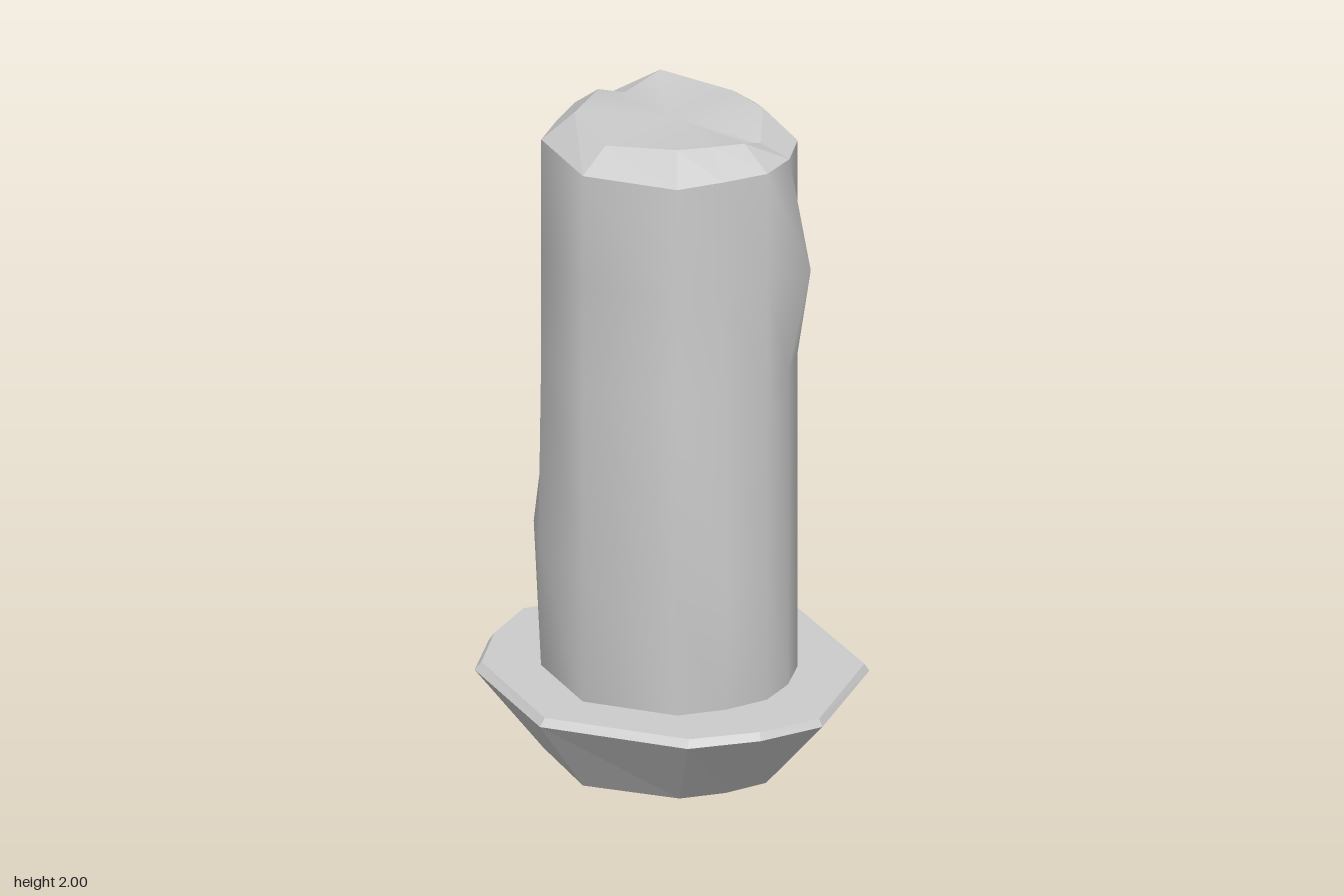
import * as THREE from 'three';

// Turns a half ring (back to front along +x) into a closed ring by mirroring x.
function ring(half) {
  const mirrored = half.slice(1, -1).reverse().map(([x, y, z]) => [-x, y, z]);
  return [...half, ...mirrored];
}

// Places a plan outline [x, z] at one height.
const level = (plan, y) => ring(plan.map(([x, z]) => [x, y, z]));

// Skins rings from bottom to top, with optional centre points to close the ends.
function loft(name, rings, { smooth = false, bottom, top } = {}) {
  const n = rings[0].length;
  const points = rings.flat();
  const index = [];
  for (let i = 0; i < rings.length - 1; i++) {
    for (let j = 0; j < n; j++) {
      const k = (j + 1) % n;
      const a = i * n + j, b = i * n + k, c = a + n, d = b + n;
      index.push(a, c, d, a, d, b);
    }
  }
  const close = (centre, start, up) => {
    const c = points.push(centre) - 1;
    for (let j = 0; j < n; j++) {
      const a = start + j, b = start + (j + 1) % n;
      index.push(c, ...(up ? [b, a] : [a, b]));
    }
  };
  if (bottom) close(bottom, 0, false);
  if (top) close(top, (rings.length - 1) * n, true);

  let geometry = new THREE.BufferGeometry();
  geometry.setAttribute('position', new THREE.Float32BufferAttribute(points.flat(), 3));
  geometry.setIndex(index);
  if (!smooth) geometry = geometry.toNonIndexed();
  geometry.computeVertexNormals();
  const material = new THREE.MeshStandardMaterial({ color: 0xcccccc, flatShading: !smooth });
  const mesh = new THREE.Mesh(geometry, material);
  mesh.name = name;
  return mesh;
}

export function createModel() {
  const model = new THREE.Group();
  model.name = 'post';

  // Flared base with a thin bevelled rim
  const foot = [[0, -0.35], [0.265, -0.25], [0.37, 0], [0.335, 0.13], [0.265, 0.25], [0, 0.37]];
  const rim = [[0, -0.55], [0.415, -0.385], [0.59, 0], [0.53, 0.195], [0.415, 0.378], [0, 0.55]];
  const lip = [[0, -0.535], [0.405, -0.375], [0.577, 0], [0.518, 0.185], [0.405, 0.36], [0, 0.53]];
  model.add(loft('base', [level(foot, 0), level(rim, 0.24), level(lip, 0.262)],
    { bottom: [0, 0, 0], top: [0, 0.262, 0] }));

  // Shaft: one plan outline, with the rear and front side corners swelling out
  const plan = (rear, front, corner = [0.265, 0.26]) =>
    [[0, -0.35], [0.275, -0.235], rear, [0.375, 0], front, corner, [0, 0.37]];
  const rearFlat = [0.345, -0.12], frontFlat = [0.325, 0.13];
  const upper = plan([0.35, -0.12], frontFlat);
  const shaftRings = [
    level(plan(rearFlat, [0.335, 0.14]), 0.25),
    level(plan(rearFlat, [0.378, 0.17], [0.262, 0.275]), 0.65),
    level(plan(rearFlat, frontFlat), 1.24),
    level(plan([0.405, -0.15], frontFlat), 1.56),
    level(upper, 1.9),
  ];
  model.add(loft('shaft', shaftRings, { smooth: true }));

  // Bevelled shoulder and the uneven, slightly dished cap
  const crown = ring([
    [0, 1.965, -0.26], [0.2, 2, -0.17], [0.265, 1.935, -0.09], [0.285, 1.968, 0],
    [0.243, 1.974, 0.095], [0.2, 1.983, 0.19], [0, 1.965, 0.275],
  ]);
  model.add(loft('shoulder', [level(upper, 1.9), crown]));
  model.add(loft('cap', [crown], { smooth: true, top: [0, 1.966, 0] }));

  return model;
}
